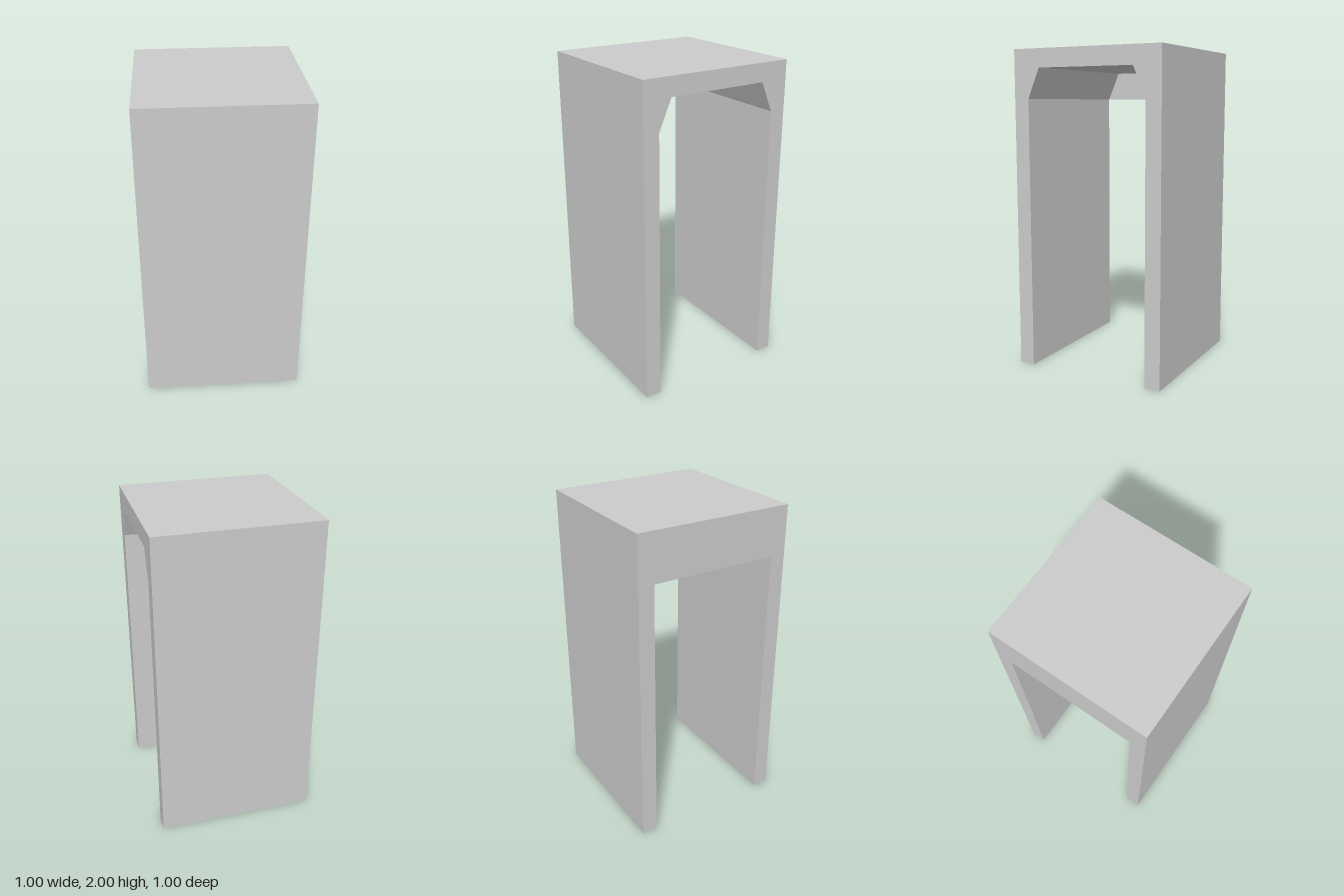
import * as THREE from 'three';

const HALF = 0.5;
const material = new THREE.MeshStandardMaterial({ color: 0xcccccc, flatShading: true, side: THREE.DoubleSide });

// Profiles as [z, y]; every wall is a thin sheet and the feet are open below
const outer = [[0.5, 0], [0.5, 2], [-0.5, 2], [-0.5, 0]];
const arch = [[-0.4, 0], [-0.4, 1.7], [-0.32, 1.885], [0.32, 1.885], [0.4, 1.7], [0.4, 0]];
const doorway = [[-0.4, 0], [-0.4, 1.7], [0.4, 1.7], [0.4, 0]];

// Sweeps an open profile along x into flat panels
function sweep(profile) {
  const positions = [];
  for (let i = 0; i < profile.length - 1; i++) {
    const [z0, y0] = profile[i];
    const [z1, y1] = profile[i + 1];
    positions.push(HALF, y0, z0, HALF, y1, z1, -HALF, y1, z1);
    positions.push(HALF, y0, z0, -HALF, y1, z1, -HALF, y0, z0);
  }
  const geometry = new THREE.BufferGeometry();
  geometry.setAttribute('position', new THREE.Float32BufferAttribute(positions, 3));
  geometry.computeVertexNormals();
  return geometry;
}

// Flat end wall between the outer profile and an opening, facing +x or -x
function endWall(opening, side) {
  const shape = new THREE.Shape([...outer, ...opening].map(([z, y]) => new THREE.Vector2(z, y)));
  return new THREE.ShapeGeometry(shape).rotateY(side * Math.PI / 2).translate(side * HALF, 0, 0);
}

export function createModel() {
  const group = new THREE.Group();
  group.name = 'archway';
  const add = (name, geometry) => {
    const mesh = new THREE.Mesh(geometry, material);
    mesh.name = name;
    group.add(mesh);
  };

  add('outerShell', sweep(outer));
  add('archLining', sweep(arch));
  // Chamfered opening on the left, square-headed opening on the right
  add('archedEnd', endWall(arch, 1));
  add('squareEnd', endWall(doorway, -1));
  return group;
}
